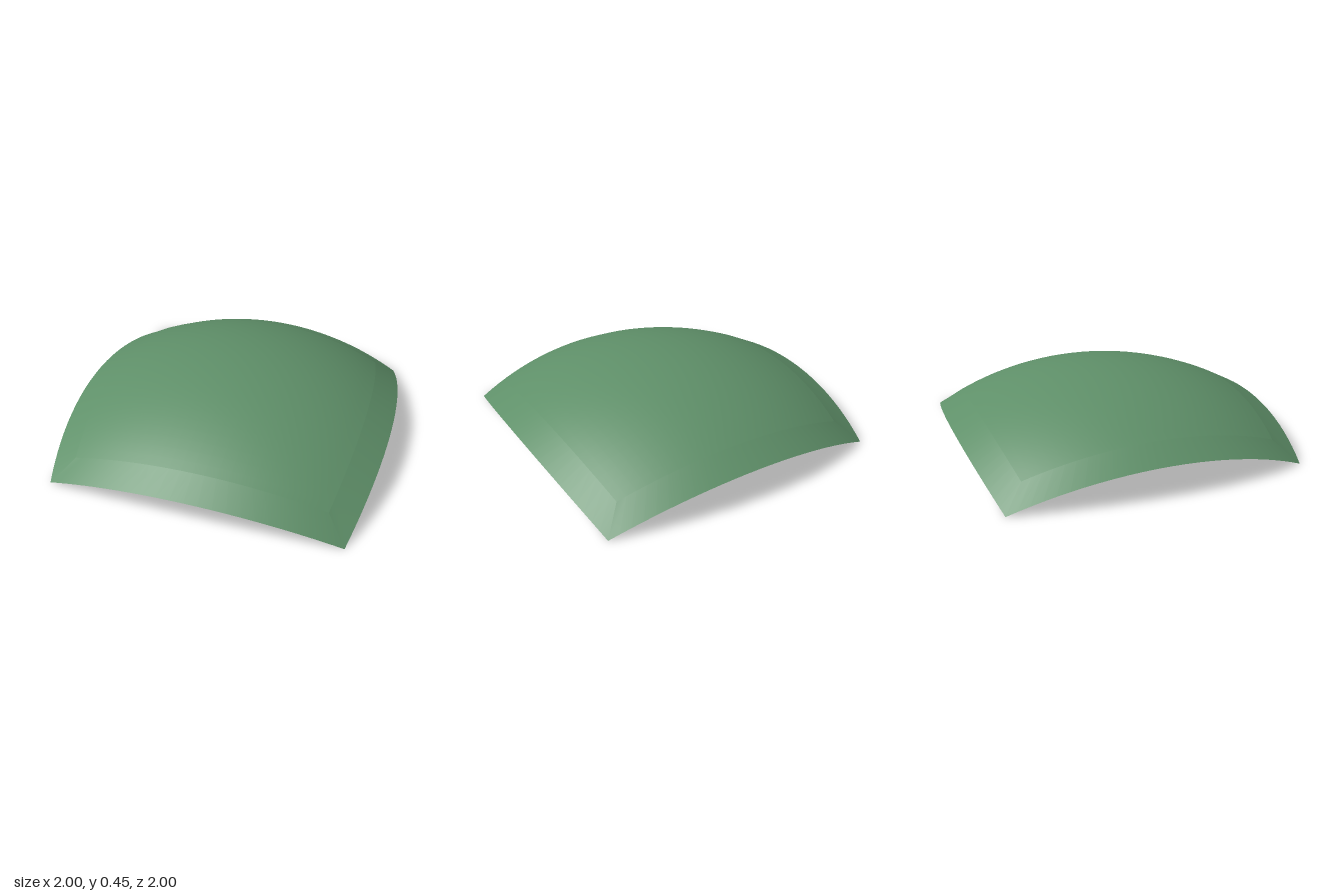
import * as THREE from 'three';

const RADIUS = 2.014; // sphere the whole shell lies on
const INNER = 0.457; // half-width of the panel, as a slope from the sphere centre
const OUTER = 0.572; // half-width out to the rim's edge
const CENTRE_Y = -RADIUS / Math.sqrt(1 + 2 * OUTER * OUTER); // rim corners rest on y = 0

// Projects every vertex of a flat grid onto the sphere; slopes(x, z) gives its direction
function projectToSphere(geometry, slopes) {
  geometry.rotateX(-Math.PI / 2);
  const pos = geometry.attributes.position;
  for (let i = 0; i < pos.count; i++) {
    const [a, b] = slopes(pos.getX(i), pos.getZ(i));
    const p = new THREE.Vector3(a, 1, b).setLength(RADIUS);
    pos.setXYZ(i, p.x, p.y + CENTRE_Y, p.z);
  }
  geometry.computeVertexNormals();
  return geometry;
}

export function createModel() {
  const group = new THREE.Group();
  group.name = 'curvedTile';
  const material = new THREE.MeshStandardMaterial({ color: 0x5f9069, side: THREE.DoubleSide });

  // Domed square panel bounded by great-circle arcs
  const panel = new THREE.Mesh(
    projectToSphere(new THREE.PlaneGeometry(2, 2, 24, 24), (x, z) => [x * INNER, z * INNER]),
    material
  );
  panel.name = 'domedPanel';
  group.add(panel);

  // Rim: one straight-sloped strip per side, mitred at the corners
  const strip = projectToSphere(new THREE.PlaneGeometry(2, 2, 24, 1), (x, z) => {
    const k = z > 0 ? OUTER : INNER;
    return [x * k, k];
  });
  ['front', 'left', 'back', 'right'].forEach((side, i) => {
    const rim = new THREE.Mesh(strip, material);
    rim.name = side + 'Rim';
    rim.rotation.y = (i * Math.PI) / 2;
    group.add(rim);
  });

  return group;
}
